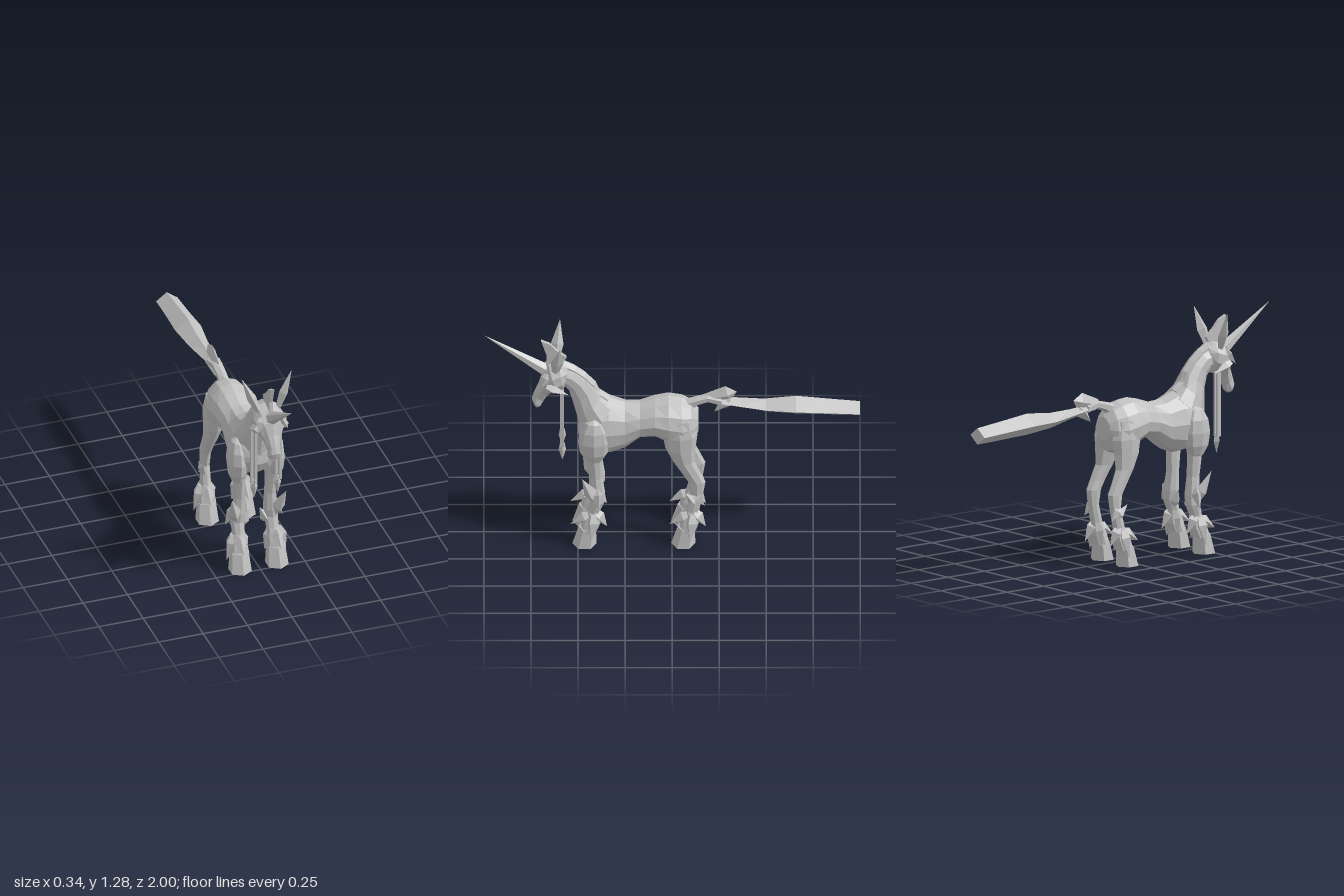
import * as THREE from 'three';

const coat = new THREE.MeshStandardMaterial({ color: 0xc0c0c0 });
coat.name = 'grey coat';

function flatMesh(geometry, name) {
  const g = geometry.index ? geometry.toNonIndexed() : geometry;
  g.computeVertexNormals(); // separate corners give faceted normals
  const m = new THREE.Mesh(g, coat);
  m.name = name;
  return m;
}

// Loft of rings. Section: [zTop, yTop, zBottom, yBottom, halfWidth, centreX]
// bulge > 0 makes the ring wider towards the bottom point.
function loft(name, sections, sides = 10, bulge = 0) {
  const pos = [], idx = [];
  sections.forEach(([zt, yt, zb, yb, w, cx = 0]) => {
    for (let i = 0; i < sides; i++) {
      const a = (i / sides) * Math.PI * 2, t = (1 + Math.cos(a)) / 2;
      pos.push(cx + w * Math.sin(a) * (1 - bulge * Math.cos(a)), yb + (yt - yb) * t, zb + (zt - zb) * t);
    }
  });
  const last = sections.length - 1;
  for (let r = 0; r < last; r++) {
    for (let i = 0; i < sides; i++) {
      const j = (i + 1) % sides, a = r * sides + i, b = r * sides + j;
      idx.push(a, b, a + sides, b, b + sides, a + sides);
    }
  }
  for (let i = 1; i < sides - 1; i++) {
    idx.push(0, i + 1, i, last * sides, last * sides + i, last * sides + i + 1);
  }
  // Turn the faces outward whichever way the sections run
  const p = (k) => new THREE.Vector3().fromArray(pos, k * 3);
  let volume = 0;
  for (let k = 0; k < idx.length; k += 3) volume += p(idx[k]).dot(p(idx[k + 1]).cross(p(idx[k + 2])));
  if (volume < 0) idx.reverse();
  const g = new THREE.BufferGeometry();
  g.setAttribute('position', new THREE.Float32BufferAttribute(pos, 3));
  g.setIndex(idx);
  return flatMesh(g, name);
}

// Pointed tuft from base to tip, widest part way along
function tuft(name, base, tip, r, widest = 0.3, sides = 4, flat = 1) {
  const a = new THREE.Vector3(...base), d = new THREE.Vector3(...tip).sub(a), len = d.length();
  const g = new THREE.LatheGeometry([[0, 0], [r * 0.6, 0.001], [r, len * widest], [0, len]]
    .map(([x, y]) => new THREE.Vector2(x, y)), sides);
  g.scale(flat, 1, 1);
  g.applyQuaternion(new THREE.Quaternion().setFromUnitVectors(new THREE.Vector3(0, 1, 0), d.normalize()));
  g.translate(a.x, a.y, a.z);
  return flatMesh(g, name);
}

// Leg row: [y, zFront, zBack, xInner, xOuter]
const legLoft = (name, rows, s, sides = 8) => loft(name,
  rows.map(([y, zf, zb, xi, xo]) => [zf, y, zb, y, (xo - xi) / 2, s * (xi + xo) / 2]), sides);

// Hoof with the feathering around it; dz shifts it from the front foot
function foot(s, dz) {
  const g = new THREE.Group();
  g.name = 'foot';
  g.add(legLoft('hoof', [[0.11, 0.495 + dz, 0.405 + dz, 0.05, 0.155], [0, 0.53 + dz, 0.4 + dz, 0.04, 0.168]], s, 6));
  const feather = (b, t, r) => g.add(tuft('feather', [s * b[0], b[1], b[2] + dz], [s * t[0], t[1], t[2] + dz], r));
  feather([0.105, 0.19, 0.43], [0.105, 0.125, 0.54], 0.035);
  feather([0.105, 0.21, 0.41], [0.105, 0.11, 0.345], 0.035);
  feather([0.125, 0.2, 0.42], [0.168, 0.05, 0.43], 0.035);
  feather([0.08, 0.2, 0.42], [0.048, 0.07, 0.42], 0.03);
  return g;
}

export function createModel() {
  const model = new THREE.Group();
  model.name = 'horned horse';

  // Trunk, neck and mane ridge
  model.add(loft('trunk', [
    [-0.14, 0.8, -0.14, 0.67, 0.06], [-0.1, 0.85, -0.12, 0.61, 0.1], [-0.05, 0.875, -0.06, 0.59, 0.125],
    [0.02, 0.885, 0.01, 0.61, 0.13], [0.09, 0.868, 0.09, 0.655, 0.122], [0.17, 0.84, 0.17, 0.645, 0.108],
    [0.25, 0.845, 0.25, 0.575, 0.112], [0.34, 0.88, 0.33, 0.545, 0.128], [0.41, 0.865, 0.42, 0.56, 0.14],
    [0.46, 0.82, 0.47, 0.6, 0.12], [0.49, 0.77, 0.5, 0.66, 0.06],
  ], 12, 0.12));
  model.add(loft('neck', [
    [0.31, 0.86, 0.485, 0.66, 0.12], [0.375, 0.91, 0.505, 0.76, 0.095], [0.405, 0.965, 0.53, 0.86, 0.07],
    [0.455, 1.02, 0.55, 0.93, 0.06], [0.51, 1.065, 0.575, 0.96, 0.058], [0.59, 1.1, 0.62, 0.97, 0.055],
  ]));
  model.add(loft('mane', [
    [0.33, 0.885, 0.36, 0.85, 0.035], [0.385, 0.925, 0.42, 0.9, 0.035], [0.405, 0.98, 0.45, 0.94, 0.035],
    [0.455, 1.035, 0.49, 0.99, 0.035], [0.51, 1.08, 0.54, 1.03, 0.035], [0.58, 1.115, 0.6, 1.07, 0.035],
  ], 6));

  // Head
  model.add(loft('head', [
    [0.555, 1.1, 0.56, 0.98, 0.05], [0.6, 1.118, 0.575, 0.95, 0.08], [0.655, 1.1, 0.6, 0.94, 0.09],
    [0.69, 1.04, 0.635, 0.93, 0.078], [0.71, 0.97, 0.66, 0.895, 0.048], [0.735, 0.91, 0.68, 0.86, 0.034],
    [0.745, 0.87, 0.695, 0.83, 0.037], [0.735, 0.84, 0.71, 0.82, 0.025],
  ]));
  model.add(tuft('horn', [0, 1.04, 0.65], [0, 1.28, 1], 0.036, 0.1, 6));

  // Upright forelock between the ears
  const lock = new THREE.Shape([[0.695, 1.245], [0.65, 1.225], [0.61, 1.18], [0.56, 1.14], [0.59, 1.09],
    [0.67, 1.08], [0.665, 1.15]].map(([x, y]) => new THREE.Vector2(x, y)));
  const lockGeo = new THREE.ExtrudeGeometry(lock, { depth: 0.02, bevelEnabled: false });
  lockGeo.rotateY(-Math.PI / 2).translate(0.01, 0, 0);
  model.add(flatMesh(lockGeo, 'forelock'));

  // Tail: dock, long hair and tufts where they join
  model.add(loft('tailDock', [
    [-0.07, 0.865, -0.11, 0.8, 0.03], [-0.13, 0.88, -0.14, 0.83, 0.03],
    [-0.19, 0.895, -0.19, 0.85, 0.03], [-0.26, 0.885, -0.27, 0.83, 0.04],
  ], 6));
  model.add(loft('tailHair', [
    [-0.22, 0.88, -0.22, 0.84, 0.03], [-0.37, 0.87, -0.37, 0.815, 0.045], [-0.5, 0.868, -0.5, 0.785, 0.055],
    [-0.66, 0.885, -0.66, 0.77, 0.073], [-0.82, 0.868, -0.82, 0.765, 0.065], [-1, 0.85, -1, 0.76, 0.06],
  ], 4));
  model.add(tuft('tailTuft', [0, 0.87, -0.18], [0, 0.912, -0.345], 0.05, 0.7, 4, 0.5));
  model.children.at(-1).name = 'upperTailTuft';
  model.add(tuft('lowerTailTuft', [0, 0.87, -0.31], [0, 0.782, -0.225], 0.035));

  for (const s of [1, -1]) {
    const side = s > 0 ? 'left' : 'right';

    // Ears, cheek and brow tufts
    model.add(tuft(side + 'Ear', [s * 0.055, 1.08, 0.62], [s * 0.142, 1.285, 0.595], 0.034, 0.4, 4, 0.75));
    model.add(tuft(side + 'Brow', [s * 0.05, 1.06, 0.66], [s * 0.085, 0.99, 0.7], 0.025));
    model.add(tuft(side + 'Cheek', [s * 0.08, 1.0, 0.67], [s * 0.085, 0.95, 0.55], 0.028));

    // Hanging braids with a pointed end
    for (const x of [0.058, 0.08]) {
      const braid = new THREE.BoxGeometry(0.014, 0.35, 0.022);
      braid.translate(s * x, 0.785, 0.585);
      model.add(flatMesh(braid, side + 'Braid'));
    }
    model.add(tuft(side + 'BraidEnd', [s * 0.066, 0.63, 0.583], [s * 0.066, 0.515, 0.583], 0.02, 0.4));

    // Shoulder muscle
    const shoulder = new THREE.SphereGeometry(1, 8, 6);
    shoulder.scale(0.057, 0.14, 0.085).translate(s * 0.105, 0.66, 0.415);
    model.add(flatMesh(shoulder, side + 'Shoulder'));

    // Front leg
    model.add(legLoft(side + 'FrontLeg', [
      [0.7, 0.47, 0.36, 0.04, 0.145], [0.6, 0.465, 0.36, 0.045, 0.14], [0.53, 0.455, 0.37, 0.055, 0.125],
      [0.42, 0.44, 0.37, 0.052, 0.12], [0.32, 0.44, 0.355, 0.048, 0.13], [0.27, 0.435, 0.355, 0.055, 0.135],
      [0.21, 0.45, 0.38, 0.06, 0.13], [0.14, 0.48, 0.375, 0.05, 0.15], [0.09, 0.49, 0.395, 0.045, 0.16],
    ], s));
    model.add(tuft(side + 'KneeTuft', [s * 0.11, 0.29, 0.41], [s * 0.153, 0.45, 0.478], 0.04));
    model.add(tuft(side + 'InnerKneeTuft', [s * 0.07, 0.24, 0.4], [s * 0.03, 0.325, 0.4], 0.03));
    model.add(tuft(side + 'OuterKneeTuft', [s * 0.11, 0.36, 0.4], [s * 0.163, 0.25, 0.39], 0.03));
    model.add(foot(s, 0));

    // Hind leg
    model.add(legLoft(side + 'HindLeg', [
      [0.78, 0.04, -0.11, 0.02, 0.115], [0.68, 0.05, -0.135, 0.015, 0.13], [0.6, 0.035, -0.125, 0.03, 0.128],
      [0.52, -0.005, -0.12, 0.05, 0.122], [0.44, -0.055, -0.155, 0.06, 0.12], [0.39, -0.085, -0.178, 0.06, 0.12],
      [0.31, -0.1, -0.165, 0.065, 0.12], [0.21, -0.075, -0.145, 0.065, 0.125],
      [0.14, -0.045, -0.145, 0.05, 0.15], [0.09, -0.035, -0.13, 0.045, 0.16],
    ], s));
    model.add(tuft(side + 'HockTuft', [s * 0.1, 0.26, -0.13], [s * 0.12, 0.335, -0.07], 0.03));
    model.add(tuft(side + 'RearHockTuft', [s * 0.1, 0.32, -0.12], [s * 0.115, 0.25, -0.175], 0.03));
    model.add(foot(s, -0.525));
  }
  return model;
}
